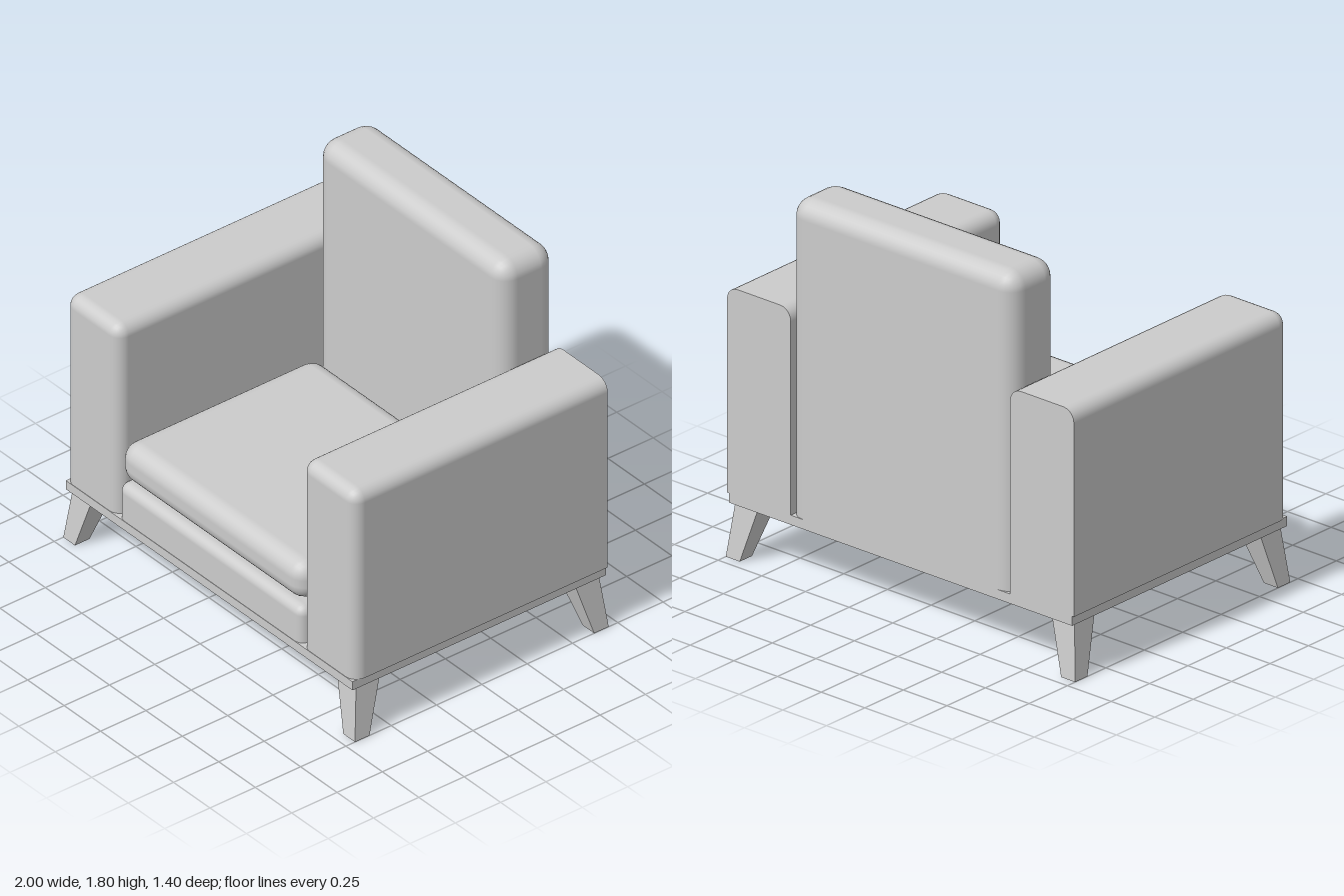
import * as THREE from 'three';
import { RoundedBoxGeometry } from 'three/addons/geometries/RoundedBoxGeometry.js';

const material = new THREE.MeshStandardMaterial({ color: 0xcccccc });

// Rounded box between two corners; faces listed in `cuts` (e.g. ['y', 'z']) end flat
// and square on their negative side.
function cushion(name, min, max, radius, cuts = []) {
  const lo = new THREE.Vector3(...min), hi = new THREE.Vector3(...max);
  const outer = lo.clone();
  for (const a of cuts) outer[a] -= radius;
  const size = hi.clone().sub(outer), mid = hi.clone().add(outer).multiplyScalar(0.5);
  const geo = new RoundedBoxGeometry(size.x, size.y, size.z, 3, radius);
  geo.translate(mid.x, mid.y, mid.z);

  // flatten everything beyond each cut plane into a cap
  const pos = geo.attributes.position, nor = geo.attributes.normal;
  const p = new THREE.Vector3();
  for (const a of cuts) {
    const k = 'xyz'.indexOf(a);
    for (let t = 0; t < pos.count; t += 3) {
      let onPlane = 0;
      for (let i = t; i < t + 3; i++) {
        p.fromBufferAttribute(pos, i);
        if (p[a] <= lo[a] + 1e-5) {
          p[a] = lo[a];
          onPlane++;
        }
        pos.setXYZ(i, p.x, p.y, p.z);
      }
      if (onPlane === 3) {
        const n = [0, 0, 0];
        n[k] = -1;
        for (let i = t; i < t + 3; i++) nor.setXYZ(i, ...n);
      }
    }
  }
  const mesh = new THREE.Mesh(geo, material);
  mesh.name = name;
  return mesh;
}

// Splayed square leg, tapering towards the outer corner
function leg(name, sx, sz) {
  const geo = new THREE.BoxGeometry(1, 1, 1);
  const pos = geo.attributes.position;
  for (let i = 0; i < pos.count; i++) {
    const top = pos.getY(i) > 0;
    const half = top ? 0.065 : 0.04;
    const cx = top ? 0.905 : 0.96, cz = top ? 0.605 : 0.66;
    pos.setXYZ(i,
      sx * cx + Math.sign(pos.getX(i)) * half,
      top ? 0.262 : 0,
      sz * cz + Math.sign(pos.getZ(i)) * half);
  }
  geo.computeVertexNormals();
  const mesh = new THREE.Mesh(geo, material);
  mesh.name = name;
  return mesh;
}

export function createModel() {
  const chair = new THREE.Group();
  chair.name = 'armchair';

  // base board
  const base = new THREE.Mesh(new THREE.BoxGeometry(1.965, 0.045, 1.4), material);
  base.position.y = 0.2825;
  base.name = 'baseBoard';
  chair.add(base);

  // legs
  for (const [side, sx] of [['Left', 1], ['Right', -1]])
    for (const [end, sz] of [['front', 1], ['back', -1]])
      chair.add(leg(`${end}${side}Leg`, sx, sz));

  // armrests: rounded on top and front, square at the back and bottom
  chair.add(cushion('leftArm', [0.628, 0.305, -0.7], [0.993, 1.277, 0.698], 0.06, ['y', 'z']));
  chair.add(cushion('rightArm', [-0.993, 0.305, -0.7], [-0.628, 1.277, 0.698], 0.06, ['y', 'z']));

  // backrest
  chair.add(cushion('backrest', [-0.643, 0.305, -0.7], [0.643, 1.797, -0.402], 0.085, ['y']));

  // seat
  chair.add(cushion('seatBase', [-0.63, 0.305, -0.39], [0.63, 0.487, 0.698], 0.045, ['y']));
  chair.add(cushion('seatCushion', [-0.63, 0.5, -0.39], [0.63, 0.697, 0.698], 0.08));

  return chair;
}
